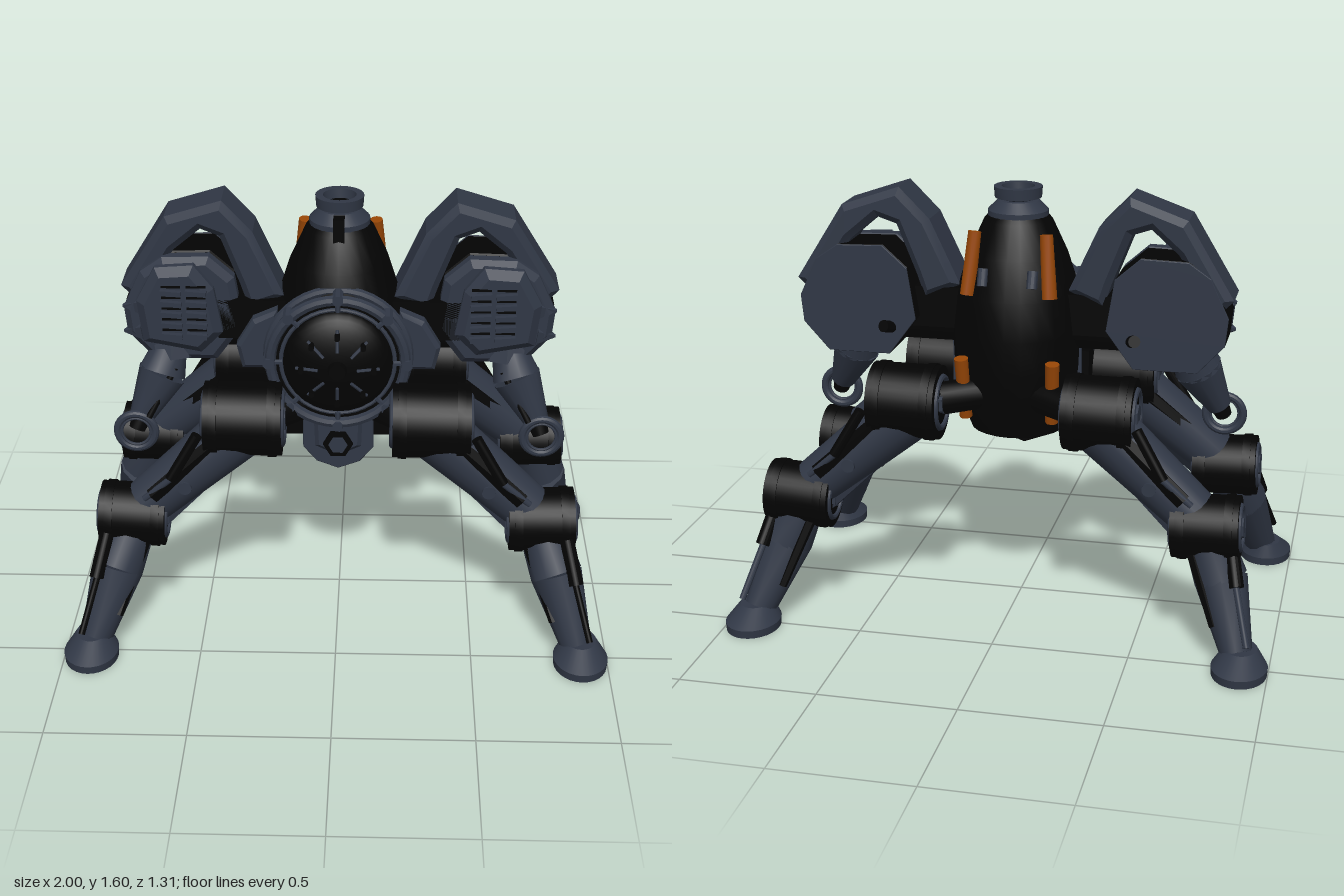
import * as THREE from 'three';
import { toCreasedNormals } from 'three/addons/utils/BufferGeometryUtils.js';

const slate = new THREE.MeshStandardMaterial({ color: 0x303745 });
slate.name = 'slate armour';
const black = new THREE.MeshStandardMaterial({ color: 0x030303 });
black.name = 'black frame';
const orange = new THREE.MeshStandardMaterial({ color: 0x964606 });
orange.name = 'orange accent';

const V = (x, y, z) => new THREE.Vector3(x, y, z);
const UP = V(0, 1, 0);

function add(parent, name, geo, mat, pos, crease = 0.6) {
  const mesh = new THREE.Mesh(toCreasedNormals(geo, crease), mat);
  mesh.name = name;
  if (pos) mesh.position.copy(pos);
  parent.add(mesh);
  return mesh;
}

function box(parent, name, mat, w, h, d, x, y, z) {
  return add(parent, name, new THREE.BoxGeometry(w, h, d), mat, V(x, y, z));
}

// Tapered rod or prism from a to b
function rod(parent, name, mat, a, b, r0, r1 = r0, sides = 16) {
  const geo = new THREE.CylinderGeometry(r1, r0, a.distanceTo(b), sides);
  if (sides <= 8) geo.rotateY(Math.PI / sides);
  const mesh = add(parent, name, geo, mat, a.clone().lerp(b, 0.5), sides <= 8 ? 0.3 : 0.6);
  mesh.quaternion.setFromUnitVectors(UP, b.clone().sub(a).normalize());
  return mesh;
}

// Bevelled plate cut from an outline in the front plane; skew slides depth along x
function plate(parent, name, mat, pts, z0, z1, bevel = 0.015, skew = () => 0) {
  const shape = new THREE.Shape(pts.map(p => new THREE.Vector2(p[0], p[1])));
  const geo = new THREE.ExtrudeGeometry(shape, {
    depth: z1 - z0 - 2 * bevel, bevelEnabled: true, bevelSize: bevel,
    bevelThickness: bevel, bevelOffset: -bevel, bevelSegments: 1,
  });
  const p = geo.attributes.position;
  for (let i = 0; i < p.count; i++) p.setZ(i, p.getZ(i) + skew(p.getX(i)));
  return add(parent, name, geo, mat, V(0, 0, z0 + bevel), 0.3);
}

function lathe(parent, name, mat, pts, pos, sides = 32) {
  const geo = new THREE.LatheGeometry(pts.map(p => new THREE.Vector2(p[0], p[1])), sides);
  return add(parent, name, geo, mat, pos, 0.5);
}

// Drum joint along x, with a ring and a hex hub on each end
function joint(parent, name, c, r, x0, x1, s, tilt) {
  const g = new THREE.Group();
  g.name = name;
  g.position.set(s * (x0 + x1) / 2, c.y, c.z);
  g.rotation.z = s * tilt;
  const h = (x1 - x0) / 2;
  rod(g, 'drum', black, V(-h, 0, 0), V(h, 0, 0), r, r, 32);
  for (const e of [-1, 1]) {
    const ring = add(g, 'drumRing', new THREE.TorusGeometry(r * 0.68, r * 0.09, 8, 32), slate, V(e * h, 0, 0));
    ring.rotation.y = Math.PI / 2;
    rod(g, 'hub', slate, V(e * (h - 0.01), 0, 0), V(e * (h + 0.012), 0, 0), r * 0.33, r * 0.33, 6);
    rod(g, 'drumBand', black, V(e * (h - 0.05), 0, 0), V(e * (h - 0.02), 0, 0), r * 1.04, r * 1.04, 32);
  }
  parent.add(g);
}

function leg(root, s, f) {
  const g = new THREE.Group();
  g.name = (f > 0 ? 'front' : 'back') + (s > 0 ? 'Left' : 'Right') + 'Leg';
  root.add(g);
  // Front and back legs differ slightly in depth
  const hipZ = f > 0 ? 0.24 : -0.30, kneeZ = f > 0 ? 0.29 : -0.35;
  const P = (x, y, z) => V(s * x, y, z);
  joint(g, 'hip', V(0, 0.845, hipZ), 0.135, f > 0 ? 0.2 : 0.23, 0.48, s, 0);
  joint(g, 'knee', V(0, 0.47, kneeZ), 0.115, 0.63, 0.87, s, 0.04);
  // Rounded thigh with a ridge, black side strips and a hydraulic
  rod(g, 'thigh', slate, P(0.36, 0.80, hipZ), P(0.73, 0.49, kneeZ), 0.112, 0.09, 20);
  for (const e of [-1, 1]) {
    rod(g, 'thighStrip', black, P(0.42, 0.80, hipZ + e * 0.078), P(0.67, 0.58, kneeZ + e * 0.062), 0.034, 0.032, 6);
  }
  rod(g, 'thighBolt', slate, P(0.55, 0.62, hipZ + f * 0.11), P(0.55, 0.62, hipZ + f * 0.132), 0.025);
  rod(g, 'thighRidge', slate, P(0.45, 0.66, hipZ), P(0.66, 0.45, kneeZ), 0.055, 0.045, 6);
  rod(g, 'thighPiston', black, P(0.50, 0.83, hipZ + f * 0.11), P(0.60, 0.66, kneeZ + f * 0.08), 0.02);
  rod(g, 'thighPistonRod', slate, P(0.60, 0.66, kneeZ + f * 0.08), P(0.70, 0.57, kneeZ + f * 0.07), 0.012);
  // Shin
  const mid = P(0.81, 0.29, f * 0.385), ankle = P(0.885, 0.06, f * 0.5);
  rod(g, 'upperShin', slate, P(0.755, 0.43, kneeZ + f * 0.01), mid, 0.085, 0.096, 12);
  rod(g, 'lowerShin', slate, mid, ankle, 0.096, 0.058, 12);
  rod(g, 'shinStrip', black, P(0.705, 0.40, kneeZ + f * 0.06), P(0.80, 0.15, f * 0.49), 0.024, 0.018, 6);
  rod(g, 'shinPiston', black, P(0.84, 0.44, f * 0.39), P(0.875, 0.30, f * 0.475), 0.026);
  rod(g, 'shinPistonRod', f > 0 ? black : slate, P(0.87, 0.31, f * 0.47), P(0.925, 0.12, f * 0.575), 0.012);
  rod(g, 'shinRail', slate, P(0.86, 0.37, f * 0.36), P(0.915, 0.13, f * 0.47), 0.013);
  // Oval foot, its top drawn back towards the ankle
  const foot = new THREE.CylinderGeometry(0.058, 0.1, 0.052, 28);
  foot.scale(1, 1, 1.22);
  const p = foot.attributes.position;
  for (let i = 0; i < p.count; i++) if (p.getY(i) > 0) p.setZ(i, p.getZ(i) - f * 0.038);
  add(g, 'footTop', foot, slate, V(s * 0.9, 0.056, f * 0.535), 0.4);
  const sole = new THREE.CylinderGeometry(0.1, 0.098, 0.03, 28);
  sole.scale(1, 1, 1.22);
  add(g, 'footSole', sole, slate, V(s * 0.9, 0.015, f * 0.535), 0.4);
}

function arm(root, s) {
  const g = new THREE.Group();
  g.name = s > 0 ? 'leftArm' : 'rightArm';
  root.add(g);
  const P = (x, y, z) => V(s * x, y, z);
  const M = pts => pts.map(p => [s * p[0], p[1]]);
  // Shoulder block and bracket
  box(g, 'shoulderBlock', black, 0.28, 0.15, 0.2, s * 0.3, 1.155, -0.04);
  rod(g, 'shoulderAxle', black, P(0.1, 1.1, -0.05), P(0.45, 1.1, -0.05), 0.09);
  plate(g, 'shoulderBracket', slate, M([[0.22, 0.99], [0.35, 0.99], [0.37, 1.08], [0.31, 1.18], [0.22, 1.22]]), 0.06, 0.13);
  // Arched guard, swept back at its outer end
  plate(g, 'armArch', slate, M([[0.20, 1.24], [0.31, 1.48], [0.42, 1.595], [0.63, 1.525], [0.80, 1.25], [0.76, 1.21],
    [0.66, 1.30], [0.60, 1.40], [0.50, 1.485], [0.43, 1.46], [0.36, 1.28], [0.33, 1.19]]),
    -0.175, 0.03, 0.025, x => -(Math.abs(x) - 0.5) * 0.09);
  // Pod: slate-backed dark drum, slate front and louvres
  const outline = M([[0.35, 1.12], [0.38, 1.31], [0.47, 1.39], [0.64, 1.385], [0.72, 1.33], [0.785, 1.19],
    [0.775, 1.09], [0.68, 0.985], [0.45, 0.985]]);
  plate(g, 'podDrum', black, outline, -0.195, -0.02, 0.006);
  plate(g, 'podBack', slate, outline, -0.203, -0.194, 0.002);
  plate(g, 'podBody', slate, outline, -0.03, 0.06, 0.025);
  plate(g, 'podFront', slate, M([[0.42, 1.12], [0.45, 1.29], [0.52, 1.38], [0.66, 1.37], [0.73, 1.24], [0.71, 1.08], [0.5, 1.04]]), 0.04, 0.125, 0.03);
  for (let i = 0; i < 5; i++) {
    for (const x of [0.49, 0.58]) {
      const l = box(g, 'podLouvre', slate, 0.075, 0.018, 0.03, s * (x + 0.02), 1.12 + i * 0.042, 0.13);
      l.rotation.z = s * 0.08;
      box(g, 'louvreGap', black, 0.07, 0.008, 0.006, s * (x + 0.02), 1.14 + i * 0.042, 0.124);
    }
  }
  for (const y of [1.1, 1.2]) rod(g, 'podSpike', slate, P(0.72, y, 0.03), P(0.79, y - 0.01, 0.03), 0.05, 0.006, 6);
  rod(g, 'podPin', black, P(0.40, 1.05, -0.08), P(0.46, 1.10, -0.24), 0.022);
  // Forearm, wrist and ring hand
  rod(g, 'elbow', slate, P(0.63, 1.13, -0.03), P(0.62, 0.98, 0.01), 0.075, 0.09, 8);
  rod(g, 'forearmUpper', slate, P(0.62, 1.04, 0.0), P(0.655, 0.93, 0.05), 0.06, 0.09, 12);
  rod(g, 'forearm', slate, P(0.655, 0.93, 0.05), P(0.735, 0.77, 0.10), 0.09, 0.045, 12);
  rod(g, 'forearmStrip', black, P(0.60, 0.97, 0.09), P(0.70, 0.79, 0.14), 0.012);
  rod(g, 'wrist', black, P(0.73, 0.78, 0.10), P(0.75, 0.73, 0.12), 0.038, 0.03);
  add(g, 'handRing', new THREE.TorusGeometry(0.07, 0.015, 10, 32), slate, P(0.75, 0.73, 0.135));
  add(g, 'handRingInner', new THREE.TorusGeometry(0.054, 0.006, 8, 32), slate, P(0.75, 0.73, 0.14));
}

export function createModel() {
  const root = new THREE.Group();
  root.name = 'walker';
  const centre = V(0, 0, -0.05);

  // Bottle-shaped body with a cupped base, and a hollow neck
  lathe(root, 'body', black, [[0, 0.78], [0.13, 0.74], [0.15, 0.69], [0.175, 0.70], [0.215, 0.80], [0.235, 0.95], [0.24, 1.08],
    [0.225, 1.22], [0.18, 1.36], [0.125, 1.48], [0.08, 1.53], [0, 1.53]], centre, 24);
  lathe(root, 'neckCollar', slate, [[0.06, 1.49], [0.11, 1.49], [0.11, 1.515], [0.075, 1.55], [0.05, 1.55]], centre);
  lathe(root, 'neckRing', slate, [[0.05, 1.55], [0.085, 1.56], [0.088, 1.6], [0.06, 1.6], [0.055, 1.565], [0, 1.565]], centre);
  rod(root, 'neckBore', black, V(0, 1.55, -0.05), V(0, 1.57, -0.05), 0.045);
  box(root, 'neckFin', black, 0.04, 0.27, 0.05, 0, 1.415, 0.055);

  // Front disc with its rims, spokes and bolts
  const disc = new THREE.Group();
  disc.name = 'frontDisc';
  disc.position.set(0, 1.05, 0.1);
  root.add(disc);
  rod(disc, 'discHousing', black, V(0, 0, -0.12), V(0, 0, 0.08), 0.235, 0.235, 32);
  add(disc, 'discRim', new THREE.TorusGeometry(0.243, 0.02, 8, 40), slate, V(0, 0, 0.092));
  add(disc, 'discInnerRim', new THREE.TorusGeometry(0.205, 0.008, 8, 40), slate, V(0, 0, 0.088));
  add(disc, 'discBackRim', new THREE.TorusGeometry(0.255, 0.018, 8, 40), slate, V(0, 0, 0.03));
  const dome = new THREE.SphereGeometry(0.2, 28, 10, 0, Math.PI * 2, 0, Math.PI / 2);
  dome.rotateX(Math.PI / 2);
  dome.scale(1, 1, 0.4);
  add(disc, 'discDome', dome, black, V(0, 0, 0.08));
  for (let i = 0; i < 8; i++) {
    const a = i * Math.PI / 4, c = Math.cos(a), n = Math.sin(a);
    rod(disc, 'rimBolt', slate, V(c * 0.25, n * 0.25, 0.02), V(c * 0.25, n * 0.25, 0.118), 0.02, 0.02, 8);
    rod(disc, 'rimClamp', slate, V(c * 0.2, n * 0.2, 0.095), V(c * 0.25, n * 0.25, 0.095), 0.01, 0.01, 6);
    rod(disc, 'spoke', slate, V(c * 0.07, n * 0.07, 0.162), V(c * 0.15, n * 0.15, 0.142), 0.006, 0.006, 6);
    rod(disc, 'spokePin', black, V(c * 0.13, n * 0.13, 0.13), V(c * 0.13, n * 0.13, 0.175), 0.01);
  }
  rod(disc, 'discHub', black, V(0, 0, 0.14), V(0, 0, 0.18), 0.04, 0.03, 16);

  // Underframe, belly pendant and hex bolt
  box(root, 'frontAxleBox', black, 0.5, 0.24, 0.11, 0, 0.85, 0.085);
  const pendant = [[-0.13, 0.82], [0.13, 0.82], [0.13, 0.68], [0.08, 0.62], [0, 0.59], [-0.08, 0.62], [-0.13, 0.68]];
  plate(root, 'bellyPendant', black, pendant, 0.04, 0.14, 0.006);
  plate(root, 'bellyPendantFace', slate, pendant, 0.139, 0.148, 0.003);
  plate(root, 'bellyShield', slate, [[-0.09, 0.82], [0.09, 0.82], [0.085, 0.69], [0, 0.65], [-0.085, 0.69]], 0.12, 0.17);
  rod(root, 'bellyBolt', black, V(0, 0.71, 0.15), V(0, 0.71, 0.185), 0.055, 0.055, 6);
  rod(root, 'bellyBoltCore', slate, V(0, 0.71, 0.16), V(0, 0.71, 0.192), 0.035, 0.035, 6);

  for (const s of [-1, 1]) {
    leg(root, s, 1);
    leg(root, s, -1);
    arm(root, s);
    rod(root, 'backHipStrut', black, V(s * 0.08, 0.86, -0.18), V(s * 0.25, 0.85, -0.28), 0.06);
    rod(root, 'frontHipStrut', black, V(s * 0.15, 0.845, 0.13), V(s * 0.25, 0.845, 0.22), 0.06);
    box(root, 'sideRib', slate, 0.012, 0.22, 0.02, s * 0.235, 0.92, -0.07);
    // Orange strips on the back
    rod(root, 'upperAccent', orange, V(s * 0.15, 1.23, -0.215), V(s * 0.13, 1.455, -0.18), 0.028, 0.024, 12);
    rod(root, 'lowerAccent', orange, V(s * 0.16, 0.77, -0.215), V(s * 0.168, 1.0, -0.25), 0.024, 0.026, 12);
    rod(root, 'backLug', slate, V(s * 0.09, 1.27, -0.24), V(s * 0.09, 1.33, -0.22), 0.02, 0.02, 12);
  }
  return root;
}
